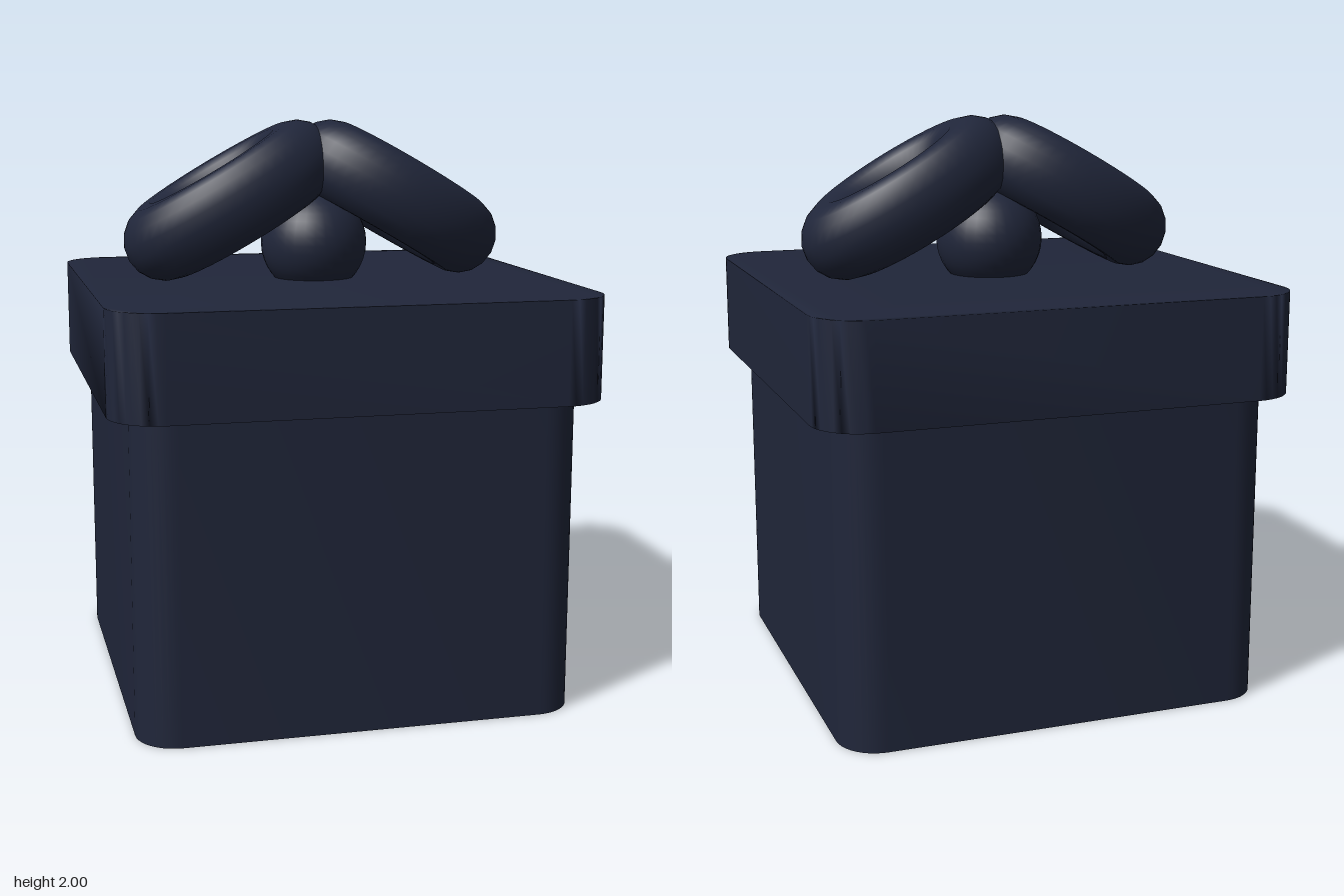
import * as THREE from 'three';
import { mergeVertices, toCreasedNormals } from 'three/addons/utils/BufferGeometryUtils.js';

const material = new THREE.MeshStandardMaterial({ color: 0x20263a });

// Upright slab with a rounded-square footprint
function roundedSlab(half, radius, y0, y1) {
  const c = half - radius;
  const shape = new THREE.Shape();
  shape.absarc(c, c, radius, 0, Math.PI / 2);
  shape.absarc(-c, c, radius, Math.PI / 2, Math.PI);
  shape.absarc(-c, -c, radius, Math.PI, Math.PI * 1.5);
  shape.absarc(c, -c, radius, Math.PI * 1.5, Math.PI * 2);
  shape.closePath();
  const geo = new THREE.ExtrudeGeometry(shape, { depth: y1 - y0, bevelEnabled: false, curveSegments: 5 });
  geo.rotateX(-Math.PI / 2);
  geo.translate(0, y0, 0);
  return geo;
}

// Share vertices so shading rolls softly over every edge
function softNormals(geo) {
  geo.deleteAttribute('normal');
  geo.deleteAttribute('uv');
  const merged = mergeVertices(geo, 1e-4);
  merged.computeVertexNormals();
  return merged;
}

export function createModel() {
  const model = new THREE.Group();
  model.name = 'giftBox';
  const add = (name, geo) => {
    const mesh = new THREE.Mesh(geo, material);
    mesh.name = name;
    model.add(mesh);
    return mesh;
  };

  // Box and overhanging lid
  add('boxBody', toCreasedNormals(roundedSlab(0.755, 0.14, 0, 1.1), Math.PI / 4));
  add('lid', softNormals(roundedSlab(0.83, 0.17, 1.09, 1.44)));

  // Ribbon knot
  add('bowKnot', new THREE.SphereGeometry(0.19, 32, 20)).position.set(0, 1.565, 0);

  // Two oval bow loops, sloping down and outward from the centre
  for (const [name, side] of [['leftBowLoop', 1], ['rightBowLoop', -1]]) {
    const geo = new THREE.TorusGeometry(0.28, 0.14, 18, 48);
    geo.rotateX(Math.PI / 2);
    geo.scale(1, 1, 0.595);
    const loop = add(name, geo);
    loop.rotation.z = -side * Math.PI / 6;
    loop.position.set(side * 0.3025, 1.72, 0);
  }
  return model;
}
